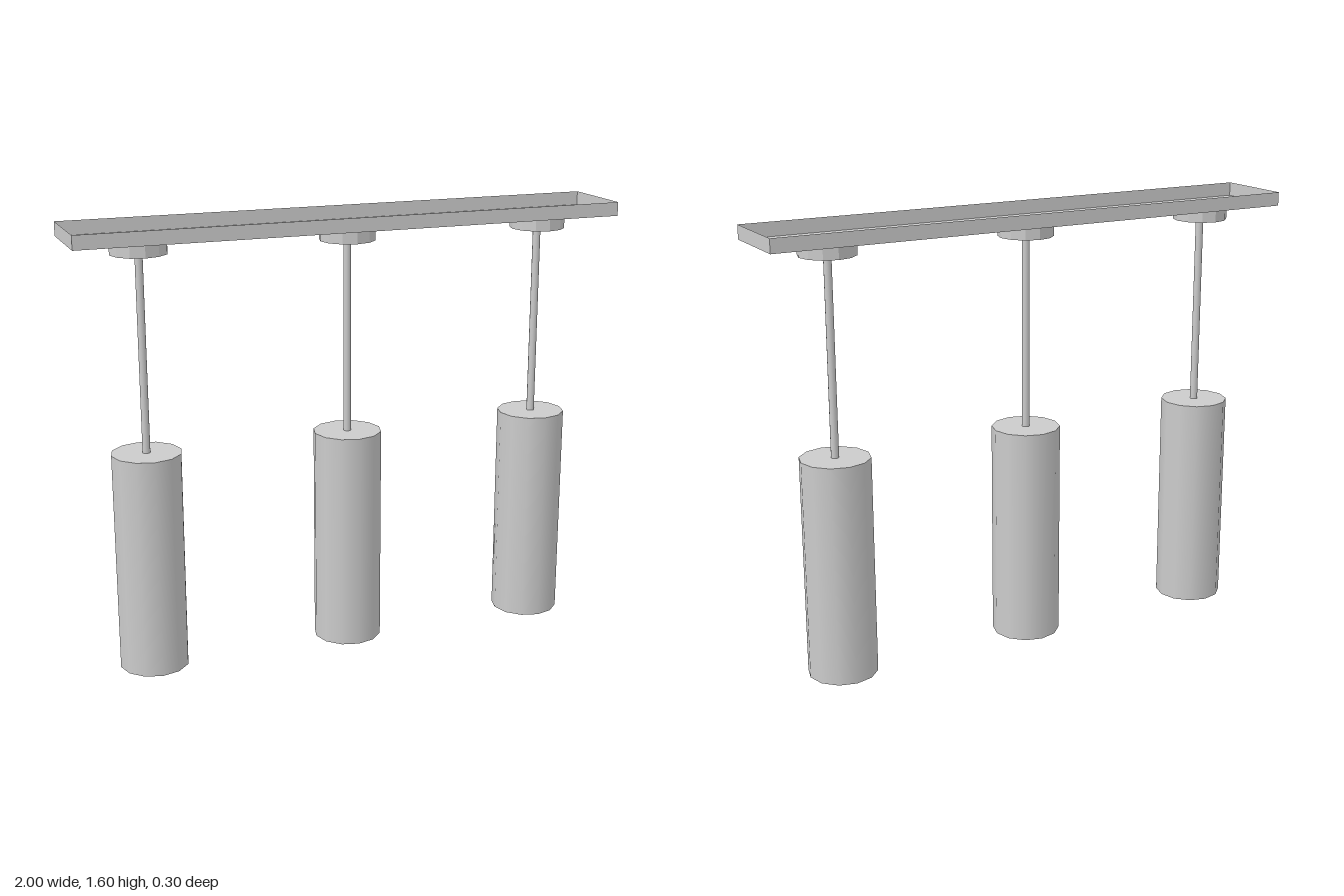
import * as THREE from 'three';

const grey = new THREE.MeshStandardMaterial({ color: 0xcccccc });
const faceted = new THREE.MeshStandardMaterial({ color: 0xcccccc, flatShading: true });
const thin = new THREE.MeshStandardMaterial({ color: 0xcccccc, side: THREE.DoubleSide });

// Upright 12-sided cylinder between two heights
function cylinder(name, radius, bottom, top, material) {
  const mesh = new THREE.Mesh(new THREE.CylinderGeometry(radius, radius, top - bottom, 12), material);
  mesh.position.y = (bottom + top) / 2;
  mesh.name = name;
  return mesh;
}

// Shallow ceiling tray: a thin-walled box without its top face
function ceilingTray() {
  const geometry = new THREE.BoxGeometry(2, 0.05, 0.3);
  const index = Array.from(geometry.index.array);
  index.splice(12, 6); // the +y face
  geometry.setIndex(index);
  geometry.clearGroups();
  const mesh = new THREE.Mesh(geometry, thin);
  mesh.position.y = 1.575;
  mesh.name = 'ceilingTray';
  return mesh;
}

// One hanging lamp: canopy, rod and cylindrical shade
function pendant(name, x) {
  const group = new THREE.Group();
  group.name = name;
  group.add(
    cylinder('canopy', 0.1, 1.5, 1.55, faceted),
    cylinder('rod', 0.014, 0.8, 1.5, grey),
    cylinder('shade', 0.125, 0, 0.8, grey)
  );
  group.position.x = x;
  return group;
}

export function createModel() {
  const model = new THREE.Group();
  model.name = 'pendantLight';
  model.add(ceilingTray());
  [['rightPendant', -0.75], ['middlePendant', 0], ['leftPendant', 0.75]]
    .forEach(([name, x]) => model.add(pendant(name, x)));
  return model;
}
